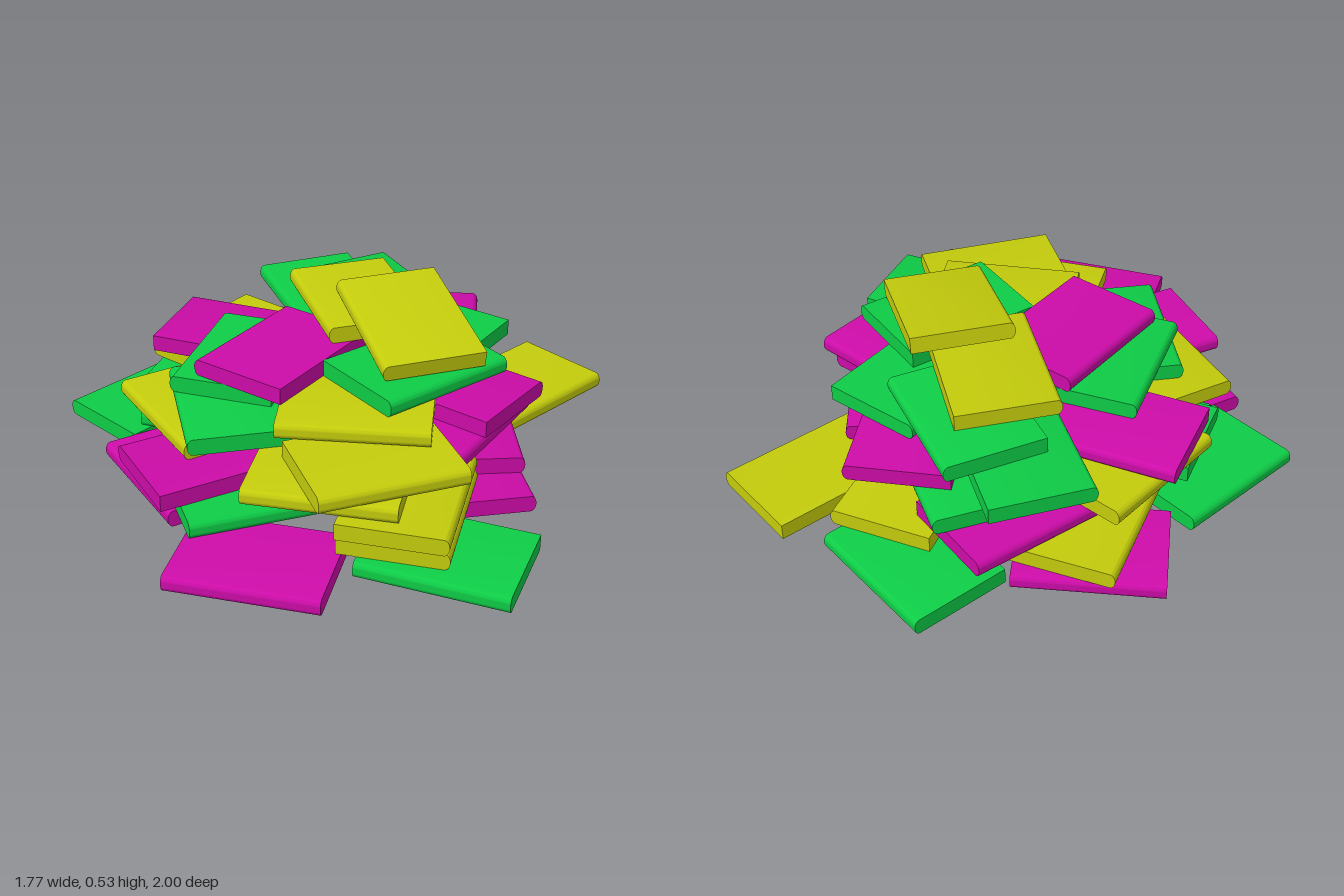
import * as THREE from 'three';
import { toCreasedNormals } from 'three/addons/utils/BufferGeometryUtils.js';

const WIDTH = 0.345, LENGTH = 0.48, THICK = 0.0555, BULGE = 0.018;

// A closed book: flat block with a rounded spine along its +x long side
function bookGeometry() {
  const s = new THREE.Shape();
  const x0 = -WIDTH / 2, x1 = WIDTH / 2 - BULGE, h = THICK / 2;
  s.moveTo(x0, -h);
  s.lineTo(x1, -h);
  s.absellipse(x1, 0, BULGE, h, -Math.PI / 2, Math.PI / 2, false, 0);
  s.lineTo(x0, h);
  s.closePath();
  const g = new THREE.ExtrudeGeometry(s, { depth: LENGTH, bevelEnabled: false, curveSegments: 10 });
  g.translate(0, 0, -LENGTH / 2);
  return toCreasedNormals(g, 0.7);
}

// Layers from the ground up; each book: colour, x, z, direction the spine faces (degrees from +x to +z)
const LAYERS = [
  [
    ['green', -0.616, -0.028, 210],
    ['magenta', -0.37, 0.39, 135],
    ['magenta', 0.007, 0.828, 90],
    ['green', 0.549, 0.653, 97],
    ['magenta', 0.513, 0.154, -24],
    ['yellow', 0.61, -0.44, 33],
    ['green', 0.157, -0.722, -57],
    ['magenta', -0.363, -0.52, 259],
  ],
  [
    ['green', -0.1, 0.53, 57],
    ['yellow', 0.402, 0.52, 0],
    ['magenta', 0.474, 0, -18],
    ['yellow', -0.325, -0.44, 184],
    ['yellow', 0.26, -0.45, 5],
    ['green', -0.33, 0.06, 95],
  ],
  [
    ['yellow', 0.4, 0.53, 0],
    ['yellow', 0.25, -0.08, 15],
    ['magenta', -0.253, 0.47, 227.6],
    ['green', -0.37, -0.02, 95],
    ['magenta', -0.1, -0.526, 217],
  ],
  [
    ['yellow', -0.356, 0.258, 135],
    ['yellow', 0.165, 0.568, 88],
    ['magenta', 0.45, 0.135, 18.4],
    ['green', 0.088, -0.445, -37],
    ['yellow', -0.39, -0.25, 204],
  ],
  [
    ['yellow', 0.3, 0.545, 56.4],
    ['magenta', -0.36, -0.174, -84],
    ['green', -0.227, 0.314, 154],
    ['magenta', 0.44, 0.015, -66.7],
    ['magenta', 0.28, -0.377, -8.6],
  ],
  [
    ['yellow', 0.193, 0.332, 82],
    ['green', -0.245, 0.094, 183],
    ['green', -0.11, -0.459, 145.6],
    ['green', 0.324, -0.179, 200],
  ],
  [
    ['magenta', -0.108, 0.13, 201],
    ['green', 0.333, 0.119, 38.6],
    ['green', 0.0925, -0.386, -41.5],
  ],
  [['yellow', 0.064, -0.209, 149]],
];

export function createModel() {
  const pile = new THREE.Group();
  pile.name = 'bookPile';
  const geometry = bookGeometry();
  const materials = {
    green: new THREE.MeshStandardMaterial({ color: 0x0ecc46 }),
    magenta: new THREE.MeshStandardMaterial({ color: 0xcc0ca8 }),
    yellow: new THREE.MeshStandardMaterial({ color: 0xc4cc0c }),
  };

  function addBook(parent, name, [color, x, z, spine], y, tilt = 0) {
    const book = new THREE.Mesh(geometry, materials[color]);
    book.name = name;
    book.position.set(x, y, z);
    book.rotation.set(tilt, -THREE.MathUtils.degToRad(spine), 0, 'YXZ');
    parent.add(book);
  }

  LAYERS.forEach((books, level) => {
    const layer = new THREE.Group();
    layer.name = `layer${level + 1}`;
    books.forEach((b, i) => addBook(layer, `${b[0]}Book${i + 1}`, b, (level + 0.5) * THICK));
    pile.add(layer);
  });

  // Top book leaning on the one beneath it
  addBook(pile, 'leaningBook', ['yellow', 0.288, 0.008, 148], 0.462, -0.18);
  return pile;
}
